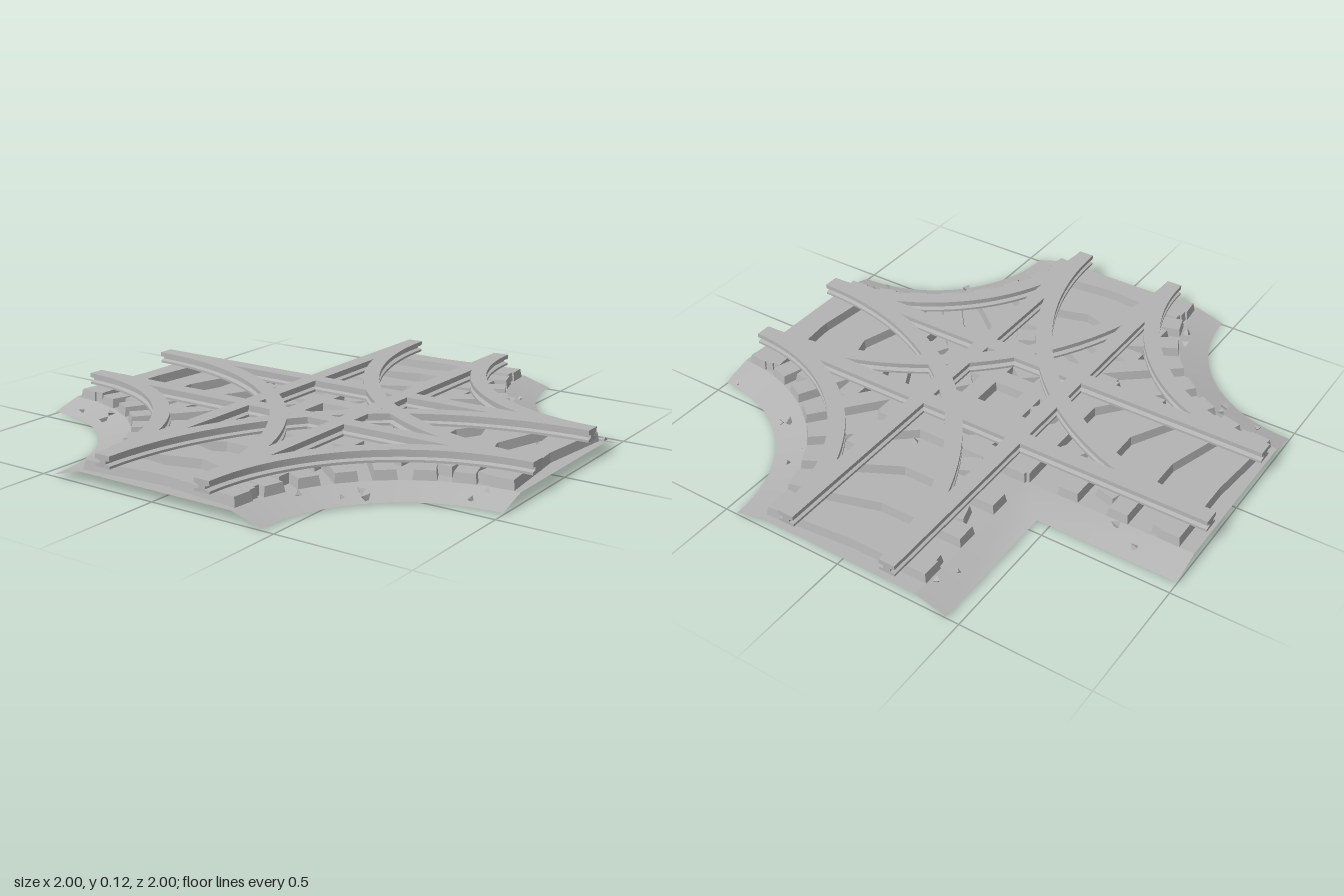
import * as THREE from 'three';
import { toCreasedNormals } from 'three/addons/utils/BufferGeometryUtils.js';

const GAUGE = 0.215;    // rail centre line from track centre
const HALF_BED = 0.45;  // outer half width of the ballast
const HALF_TOP = 0.33;  // half width of the raised flat bed
const BED_Y = 0.035;

// curve centres with the start angle of their quarter turn
const curves = [
  { name: 'frontRight', x: -1, z: 1, phi: Math.PI / 2 },
  { name: 'frontLeft', x: 1, z: 1, phi: Math.PI },
  { name: 'backLeft', x: 1, z: -1, phi: Math.PI * 1.5 },
];

// closed rail section [offset, height], counter-clockwise
const halfSection = [[0.032, 0.07], [0.032, 0.079], [0.014, 0.084], [0.014, 0.094], [0.032, 0.098], [0.032, 0.115]];
const railSection = [...halfSection, ...halfSection.map(([x, y]) => [-x, y]).reverse()];

// outline of the bed at a given half width: three scooped corners, one square
function bedLoop(half) {
  const pts = [];
  for (const c of curves) {
    for (let i = 0; i <= 20; i++) {
      const a = c.phi + (i / 20) * Math.PI / 2;
      pts.push([c.x + (1 - half) * Math.sin(a), c.z + (1 - half) * Math.cos(a)]);
    }
  }
  // reverse each scoop so the loop runs front right, front left, back left
  const loop = [];
  for (let k = 0; k < 3; k++) loop.push(...pts.slice(k * 21, k * 21 + 21).reverse());
  loop.push([-half, -1], [-half, -half], [-1, -half]);
  return loop;
}

// flat top of the ballast
function bedTopGeometry() {
  const shape = new THREE.Shape(bedLoop(HALF_TOP).map(([x, z]) => new THREE.Vector2(x, -z)));
  return new THREE.ShapeGeometry(shape).rotateX(-Math.PI / 2).translate(0, BED_Y, 0);
}

// sloping shoulder between the inner and outer outline, open at the arm ends
function bedShoulderGeometry() {
  const inner = bedLoop(HALF_TOP), outer = bedLoop(HALF_BED), pos = [];
  for (let i = 0; i < inner.length - 1; i++) {
    if (i === 20 || i === 41 || i === 62) continue;
    const a = [inner[i][0], BED_Y, inner[i][1]], b = [inner[i + 1][0], BED_Y, inner[i + 1][1]];
    const c = [outer[i][0], 0, outer[i][1]], d = [outer[i + 1][0], 0, outer[i + 1][1]];
    pos.push(...a, ...c, ...b, ...b, ...c, ...d);
  }
  const g = new THREE.BufferGeometry();
  g.setAttribute('position', new THREE.Float32BufferAttribute(pos, 3));
  g.computeVertexNormals();
  return toCreasedNormals(g, 0.5);
}

function straightRailGeometry() {
  const shape = new THREE.Shape(railSection.map(([x, y]) => new THREE.Vector2(x, y)));
  return new THREE.ExtrudeGeometry(shape, { depth: 2, bevelEnabled: false }).translate(0, 0, -1);
}

function curvedRailGeometry(radius, phi) {
  const pts = [...railSection, railSection[0]].map(([x, y]) => new THREE.Vector2(radius + x, y));
  return toCreasedNormals(new THREE.LatheGeometry(pts, 32, phi, Math.PI / 2), 0.5);
}

// sleeper lying along z, slightly narrower at the top
function sleeperGeometry() {
  const g = new THREE.BoxGeometry(0.086, 0.038, HALF_TOP * 2);
  const p = g.attributes.position;
  for (let i = 0; i < p.count; i++) {
    if (p.getY(i) > 0) p.setXYZ(i, p.getX(i) * 0.86, p.getY(i), p.getZ(i) * 0.98);
  }
  g.translate(0, 0.051, 0);
  g.computeVertexNormals();
  return g;
}

// height of the ballast surface at a point
function bedHeight(x, z) {
  let offset;
  if (x < 0 && z < 0) offset = Math.min(-x, -z);
  else offset = 1 - Math.hypot(Math.abs(x) - 1, Math.abs(z) - 1);
  return BED_Y * THREE.MathUtils.clamp((HALF_BED - offset) / (HALF_BED - HALF_TOP), 0, 1);
}

export function createModel() {
  const model = new THREE.Group();
  model.name = 'railCrossing';
  const grey = new THREE.MeshStandardMaterial({ color: 0xb4b4b4, side: THREE.DoubleSide });
  grey.name = 'grey';
  const add = (parent, name, geometry) => {
    const mesh = new THREE.Mesh(geometry, grey);
    mesh.name = name;
    parent.add(mesh);
    return mesh;
  };

  add(model, 'ballastTop', bedTopGeometry());
  add(model, 'ballastShoulder', bedShoulderGeometry());

  // two straight tracks crossing at right angles
  const railGeo = straightRailGeometry(), sleeperGeo = sleeperGeometry();
  for (const [name, turn] of [['lengthwiseTrack', 0], ['crosswiseTrack', Math.PI / 2]]) {
    const track = new THREE.Group();
    track.name = name;
    track.rotation.y = turn;
    for (const s of [-1, 1]) add(track, 'straightRail', railGeo).position.x = s * GAUGE;
    for (let i = 0; i < 10; i++) {
      const sleeper = add(track, 'sleeper', sleeperGeo);
      sleeper.rotation.y = Math.PI / 2;
      sleeper.position.z = -0.9 + i * 0.2;
    }
    model.add(track);
  }

  // three quarter-turn tracks joining neighbouring arms
  for (const c of curves) {
    const track = new THREE.Group();
    track.name = c.name + 'Curve';
    track.position.set(c.x, 0, c.z);
    for (const s of [-1, 1]) add(track, 'curvedRail', curvedRailGeometry(1 + s * GAUGE, c.phi));
    for (let i = 0; i < 8; i++) {
      const a = c.phi + ((i + 0.5) / 8) * Math.PI / 2;
      const sleeper = add(track, 'curveSleeper', sleeperGeo);
      sleeper.rotation.y = a;
      sleeper.position.set(Math.sin(a), 0, Math.cos(a));
    }
    model.add(track);
  }

  // loose stones scattered over the ballast
  const stones = [
    [-0.38, -0.83], [-0.35, -0.91], [-0.81, -0.4], [-0.71, -0.35], [0.46, -0.71], [0.46, -0.64],
    [0.64, -0.54], [0.61, -0.53], [0.95, -0.44], [0.37, -0.41], [0.13, -0.375], [-0.96, -0.17],
    [0.82, -0.15], [-0.88, 0.42], [-0.73, 0.42], [-0.72, 0.47], [0.9, 0.37], [0.87, 0.43],
    [0.55, 0.59], [0.58, 0.61], [0.52, 0.66], [0.41, 0.75], [-0.41, 0.74], [-0.38, 0.81],
  ];
  const stoneGeo = new THREE.TetrahedronGeometry(0.018);
  stones.forEach(([x, z], i) => {
    const stone = add(model, 'stone', stoneGeo);
    stone.position.set(x, bedHeight(x, z) + 0.006, z);
    stone.rotation.set(i * 1.3, i * 2.1, i * 0.7);
    stone.scale.setScalar(0.7 + (i % 4) * 0.18);
  });

  return model;
}
